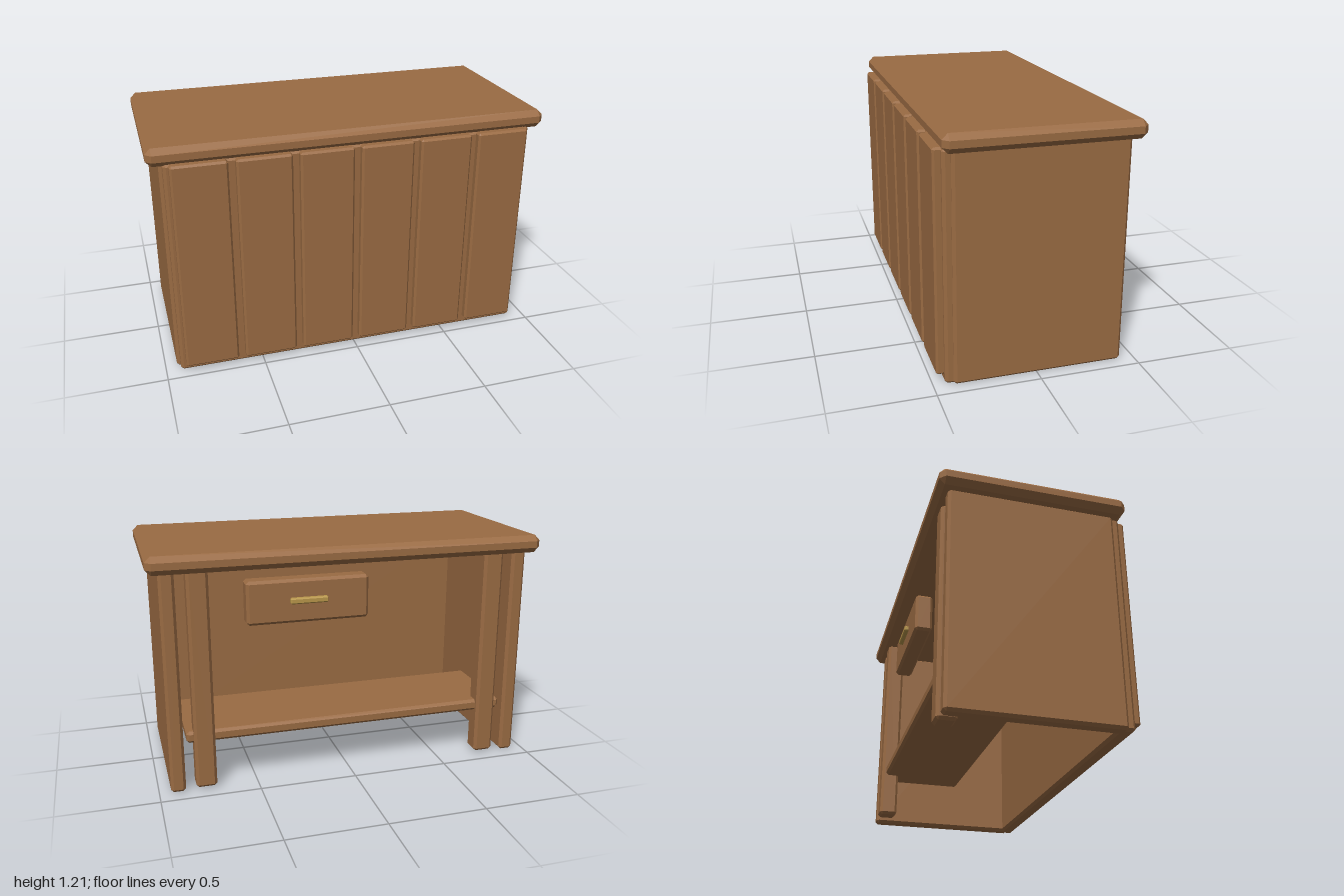
import * as THREE from 'three';
import { ConvexGeometry } from 'three/addons/geometries/ConvexGeometry.js';

const wood = new THREE.MeshStandardMaterial({ color: 0x9a6b43, flatShading: true });
const brass = new THREE.MeshStandardMaterial({ color: 0xb8964a, flatShading: true });

// Box given by its min/max corners, with every edge and corner chamfered by c
function chamferBox(name, min, max, c, material = wood) {
  const half = max.map((v, i) => (v - min[i]) / 2);
  const points = [];
  for (const sx of [-1, 1]) for (const sy of [-1, 1]) for (const sz of [-1, 1]) {
    for (let axis = 0; axis < 3; axis++) {
      const p = [sx, sy, sz].map((s, i) => s * (half[i] - (i === axis ? 0 : c)));
      points.push(new THREE.Vector3(...p));
    }
  }
  const mesh = new THREE.Mesh(new ConvexGeometry(points), material);
  mesh.position.set(...min.map((v, i) => (v + max[i]) / 2));
  mesh.name = name;
  return mesh;
}

export function createModel() {
  const desk = new THREE.Group();
  desk.name = 'counterDesk';

  // Overhanging worktop
  desk.add(chamferBox('worktop', [-1, 1.12, -0.48], [1, 1.21, 0.455], 0.028));

  // Front panel and its six raised slats
  desk.add(chamferBox('frontPanel', [-0.925, 0, 0.365], [0.925, 1.13, 0.443], 0.014));
  for (let i = 0; i < 6; i++) {
    const x = (i - 2.5) * 0.306;
    desk.add(chamferBox('frontSlat', [x - 0.135, 0.04, 0.43], [x + 0.135, 1.13, 0.48], 0.01));
  }

  // Side panels and the posts beside them at the open back
  for (const [side, s] of [['left', 1], ['right', -1]]) {
    const mirrored = (name, x0, x1, y0, y1, z0, z1, c) => desk.add(chamferBox(
      side + name, [Math.min(s * x0, s * x1), y0, z0], [Math.max(s * x0, s * x1), y1, z1], c));
    mirrored('SidePanel', 0.867, 0.942, 0, 1.13, -0.428, 0.405, 0.014);
    mirrored('Post', 0.71, 0.815, 0.012, 1.13, -0.433, -0.335, 0.014);
  }

  // Low shelf running through the posts
  desk.add(chamferBox('shelf', [-0.85, 0.25, -0.41], [0.85, 0.31, 0.055], 0.014));

  // Off-centre drawer with a bar handle
  const drawer = new THREE.Group();
  drawer.name = 'drawer';
  drawer.add(chamferBox('drawerFront', [-0.09, 0.83, -0.41], [0.53, 1.05, -0.315], 0.014));
  drawer.add(chamferBox('drawerHandle', [0.125, 0.93, -0.433], [0.315, 0.96, -0.4], 0.006, brass));
  desk.add(drawer);

  return desk;
}
